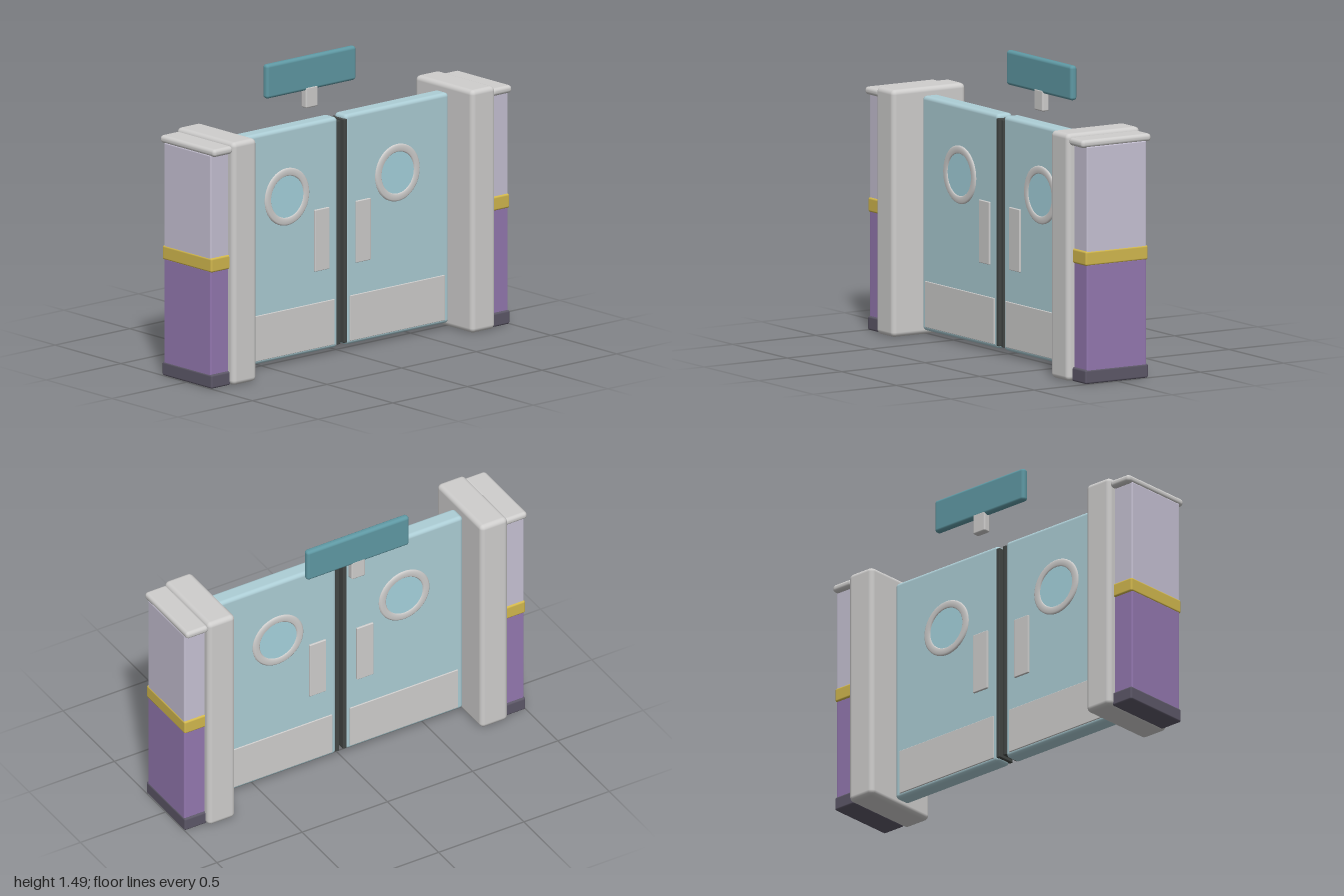
import * as THREE from 'three';
import { RoundedBoxGeometry } from 'three/addons/geometries/RoundedBoxGeometry.js';

const mat = (name, color) => {
  const m = new THREE.MeshStandardMaterial({ color });
  m.name = name;
  return m;
};

export function createModel() {
  const root = new THREE.Group();
  root.name = 'doubleDoor';

  const doorBlue = mat('doorBlue', 0xadced6);
  const glassBlue = mat('glassBlue', 0xa6d3de);
  const metal = mat('lightMetal', 0xcfcecd);
  const lavender = mat('lavenderWall', 0xc7c2d4);
  const purple = mat('purpleWall', 0x9478b0);
  const gold = mat('goldStripe', 0xd2b84e);
  const base = mat('darkBase', 0x5d5868);
  const rubber = mat('rubberSeal', 0x434745);
  const teal = mat('signTeal', 0x5f99a4);

  const add = (parent, name, geometry, material) => {
    const mesh = new THREE.Mesh(geometry, material);
    mesh.name = name;
    parent.add(mesh);
    return mesh;
  };

  // Rounded block given by its extents on each axis
  const block = (parent, name, material, [x0, x1], [y0, y1], [z0, z1], radius) => {
    const g = new RoundedBoxGeometry(x1 - x0, y1 - y0, z1 - z0, 3, radius);
    g.translate((x0 + x1) / 2, (y0 + y1) / 2, (z0 + z1) / 2);
    return add(parent, name, g, material);
  };

  // Bevelled porthole ring, turned to face +z
  const ringProfile = [
    [0.108, 0], [0.108, 0.005], [0.114, 0.011], [0.14, 0.011], [0.148, 0.005], [0.148, 0],
  ].map(([r, y]) => new THREE.Vector2(r, y)).reverse();
  const ringGeometry = new THREE.LatheGeometry(ringProfile, 48).rotateX(Math.PI / 2);
  const glassGeometry = new THREE.CylinderGeometry(0.11, 0.11, 0.006, 48).rotateX(Math.PI / 2);
  const ringMetal = metal;
  ringMetal.side = THREE.DoubleSide;

  for (const side of [-1, 1]) {
    const label = side > 0 ? 'left' : 'right';
    const span = (a, b) => (side > 0 ? [a, b] : [-b, -a]);

    // Door leaf with its rubber edge
    const door = new THREE.Group();
    door.name = label + 'Door';
    root.add(door);
    block(door, 'doorPanel', doorBlue, span(0.025, 0.72), [0.025, 1.22], [-0.046, 0.046], 0.02);
    block(door, 'doorSeal', rubber, span(0.011, 0.033), [0.04, 1.2], [-0.05, 0.05], 0.004);

    // Fittings repeated on both faces of the leaf
    for (const face of [-1, 1]) {
      const depth = (a, b) => (face > 0 ? [a, b] : [-b, -a]);
      block(door, 'kickPlate', metal, span(0.052, 0.686), [0.045, 0.28], depth(0.043, 0.052), 0.003);
      block(door, 'pushPlate', metal, span(0.09, 0.187), [0.445, 0.765], depth(0.043, 0.056), 0.004);

      const porthole = new THREE.Group();
      porthole.name = 'porthole';
      porthole.position.set(side * 0.37, 0.865, face * 0.045);
      if (face < 0) porthole.rotation.y = Math.PI;
      door.add(porthole);
      add(porthole, 'portholeRing', ringGeometry, ringMetal);
      add(porthole, 'portholeGlass', glassGeometry, glassBlue).position.z = 0.002;
    }

    // Door jamb and the painted wall end beside it
    const wall = new THREE.Group();
    wall.name = label + 'Wall';
    root.add(wall);
    block(wall, 'jamb', metal, span(0.72, 0.88), [0, 1.26], [-0.22, 0.22], 0.025);
    block(wall, 'wallBase', base, span(0.87, 1), [0, 0.072], [-0.188, 0.19], 0.01);
    block(wall, 'lowerWall', purple, span(0.87, 0.997), [0.06, 0.61], [-0.178, 0.18], 0.008);
    block(wall, 'wallStripe', gold, span(0.87, 1), [0.602, 0.676], [-0.186, 0.188], 0.01);
    block(wall, 'upperWall', lavender, span(0.87, 0.997), [0.66, 1.21], [-0.178, 0.18], 0.008);
    block(wall, 'wallCap', metal, span(0.87, 1), [1.203, 1.243], [-0.208, 0.21], 0.018);
  }

  // Blank sign on a short stem
  const sign = new THREE.Group();
  sign.name = 'sign';
  root.add(sign);
  block(sign, 'signBoard', teal, [-0.3, 0.3], [1.313, 1.49], [-0.22, -0.182], 0.016);
  block(sign, 'signStem', metal, [-0.04, 0.04], [1.222, 1.33], [-0.22, -0.18], 0.008);

  return root;
}
